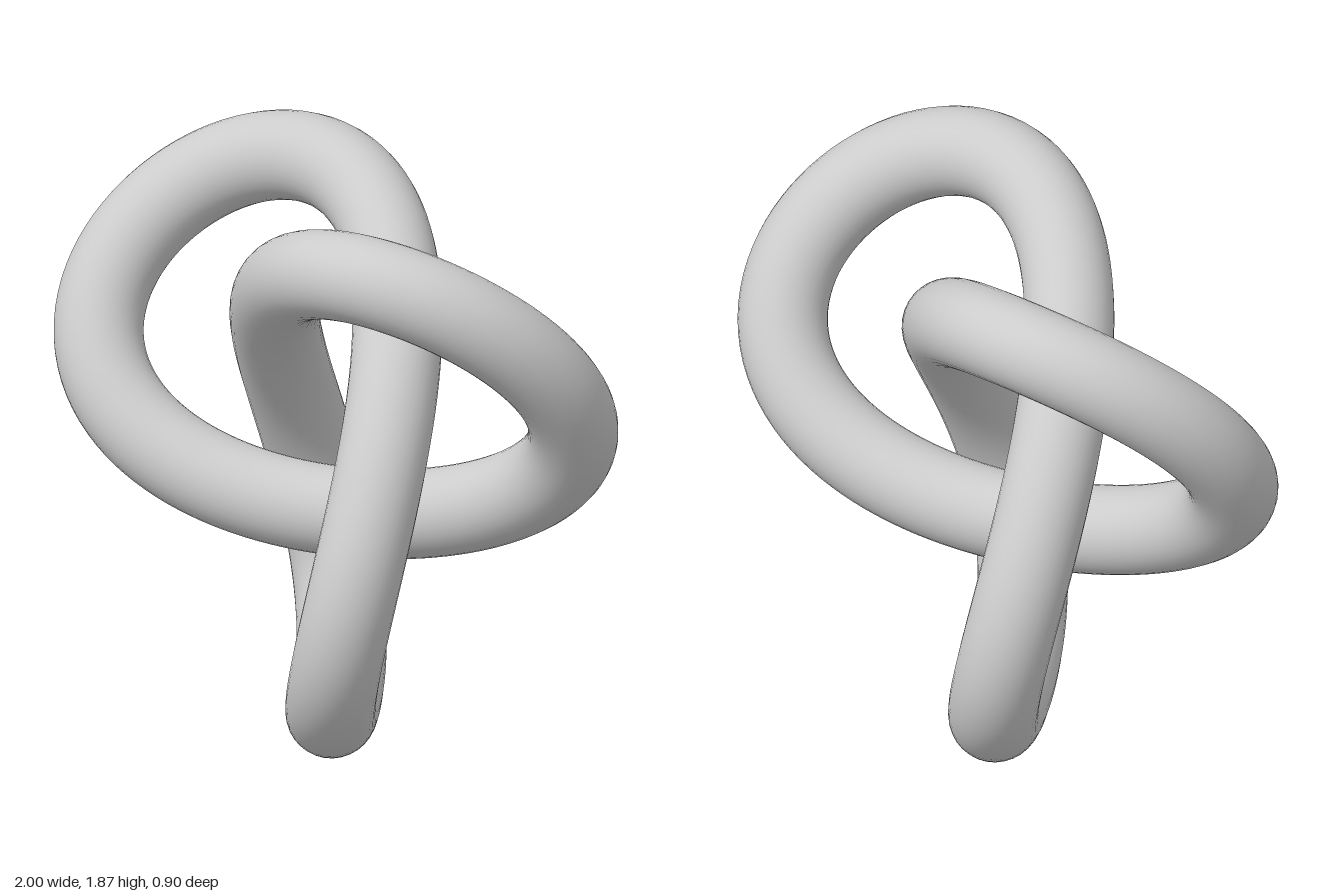
import * as THREE from 'three';

const INNER = 0.315;   // single-turn amplitude
const OUTER = 0.63;    // double-turn amplitude
const DEPTH = 0.31;    // front-to-back weave
const RADIUS = 0.14;   // tube radius
const CENTRE_Y = INNER + OUTER + RADIUS;

// Closed three-lobed knot path, one lobe pointing down
class TrefoilCurve extends THREE.Curve {
  getPoint(u, target = new THREE.Vector3()) {
    const t = u * Math.PI * 2;
    return target.set(
      INNER * Math.sin(t) + OUTER * Math.sin(2 * t),
      CENTRE_Y + INNER * Math.cos(t) - OUTER * Math.cos(2 * t),
      -DEPTH * Math.sin(3 * t)
    );
  }
}

export function createModel() {
  const group = new THREE.Group();
  group.name = 'trefoilKnot';

  // Round tube swept along the knot
  const path = new TrefoilCurve();
  path.arcLengthDivisions = 600;
  const tube = new THREE.Mesh(
    new THREE.TubeGeometry(path, 256, RADIUS, 32, true),
    new THREE.MeshStandardMaterial({ color: 0xcccccc })
  );
  tube.name = 'knotTube';
  group.add(tube);

  return group;
}
